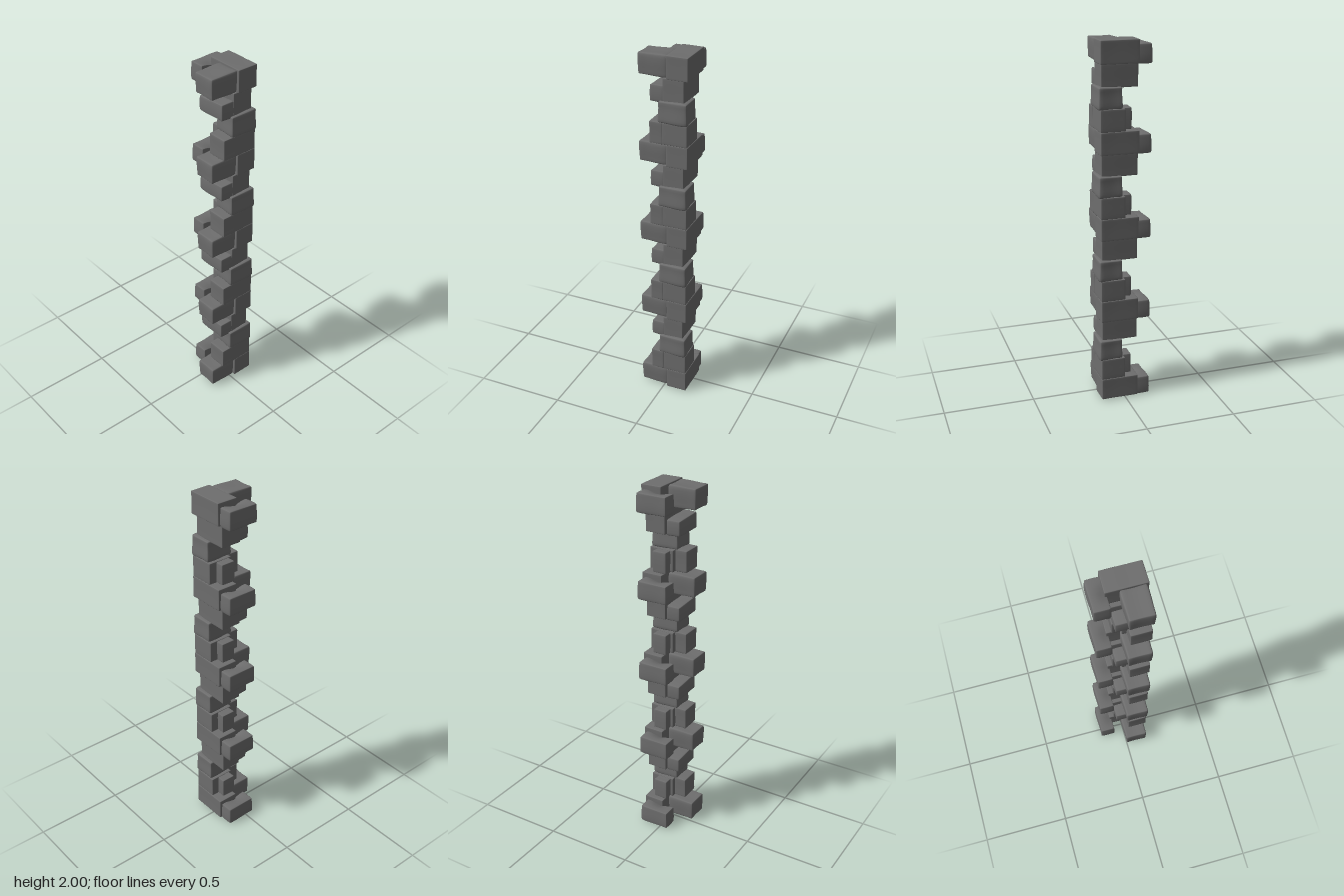
import * as THREE from 'three';
import { mergeVertices } from 'three/addons/utils/BufferGeometryUtils.js';

// A worn stone: a box with clustered edge loops, rounded edges and a gentle uneven surface
function stoneGeometry([x0, x1], [y0, y1], [z0, z1], { r = 0.008, bump = 0.002, slope = 0, chip = 0 }, seed) {
  const half = new THREE.Vector3(x1 - x0, y1 - y0, z1 - z0).multiplyScalar(0.5);
  let g = new THREE.BoxGeometry(2, 2, 2, 10, 10, 10);
  g.deleteAttribute('normal');
  g.deleteAttribute('uv');
  g = mergeVertices(g);
  const pos = g.attributes.position;
  const p = new THREE.Vector3(), core = new THREE.Vector3(), n = new THREE.Vector3();
  const inner = half.clone().subScalar(r), outer = inner.clone().negate();
  for (let i = 0; i < pos.count; i++) {
    p.fromBufferAttribute(pos, i);
    p.set(...p.toArray().map((u) => Math.sin((u * Math.PI) / 2))).multiply(half);
    core.copy(p).clamp(outer, inner);
    n.copy(p).sub(core).normalize();
    p.copy(core).addScaledVector(n, r);
    // soft hollows, always cutting inwards
    const wave = Math.sin(p.x * 37 + seed * 1.7) + Math.sin(p.y * 43 + seed * 2.3) + Math.sin(p.z * 33 + seed * 3.1);
    p.addScaledVector(n, bump * (wave / 3 - 0.6));
    // sloping top and a worn hollow in one top edge
    if (p.y > 0) {
      const t = p.y / half.y;
      p.y += t * slope * (p.x / half.x - 1);
      p.y -= t * chip * Math.exp(-(((p.x - half.x) / 0.04) ** 2) - ((p.z / 0.04) ** 2));
    }
    pos.setXYZ(i, p.x, p.y, p.z);
  }
  g.translate((x0 + x1) / 2, (y0 + y1) / 2, (z0 + z1) / 2);
  g.computeVertexNormals();
  return g;
}

export function createModel() {
  const group = new THREE.Group();
  const stone = new THREE.MeshStandardMaterial({ color: 0x6e6e6e });
  stone.name = 'grey stone';

  // [name, x range, y range, z range, wear]
  const cornerCourse = [
    ['sideStone', [-0.147, -0.054], [0.003, 0.11], [-0.127, 0.05], { r: 0.01, bump: 0.005, chip: 0.02 }],
    ['backStone', [-0.073, 0.137], [0.01, 0.132], [-0.14, -0.022], { r: 0.004, bump: 0.001 }],
    ['frontStone', [-0.005, 0.127], [0.01, 0.13], [-0.025, 0.139], { r: 0.012, bump: 0.005 }],
  ];
  const upperCourses = [
    ['secondBackStone', [0, 0.138], [0.13, 0.25], [-0.138, 0.004], { r: 0.005, bump: 0.001 }],
    ['secondFrontStone', [0.025, 0.141], [0.13, 0.25], [-0.004, 0.072], { r: 0.006, bump: 0.002 }],
    ['secondSideStone', [-0.047, 0.03], [0.13, 0.248], [-0.095, -0.012], { r: 0.006, bump: 0.002 }],
    ['thirdStone', [0.014, 0.147], [0.246, 0.365], [-0.139, 0.024], { r: 0.013, bump: 0.006 }],
    ['fourthBackStone', [-0.073, 0.128], [0.355, 0.48], [-0.116, 0.001], { r: 0.004, bump: 0.001 }],
    ['fourthFrontStone', [-0.054, 0.127], [0.345, 0.444], [-0.01, 0.077], { r: 0.011, bump: 0.005, slope: 0.006 }],
  ];

  // the same courses repeat up the corner, ending with the wide course
  const all = [...cornerCourse, ...upperCourses];
  const geometries = all.map(([, x, y, z, wear], i) => stoneGeometry(x, y, z, wear, i + 1));
  for (let k = 0; k < 5; k++) {
    const section = new THREE.Group();
    section.name = `stoneSection${k + 1}`;
    section.position.y = k * 0.4675;
    const count = k < 4 ? all.length : cornerCourse.length;
    for (let i = 0; i < count; i++) {
      const mesh = new THREE.Mesh(geometries[i], stone);
      mesh.name = all[i][0];
      section.add(mesh);
    }
    group.add(section);
  }
  return group;
}
